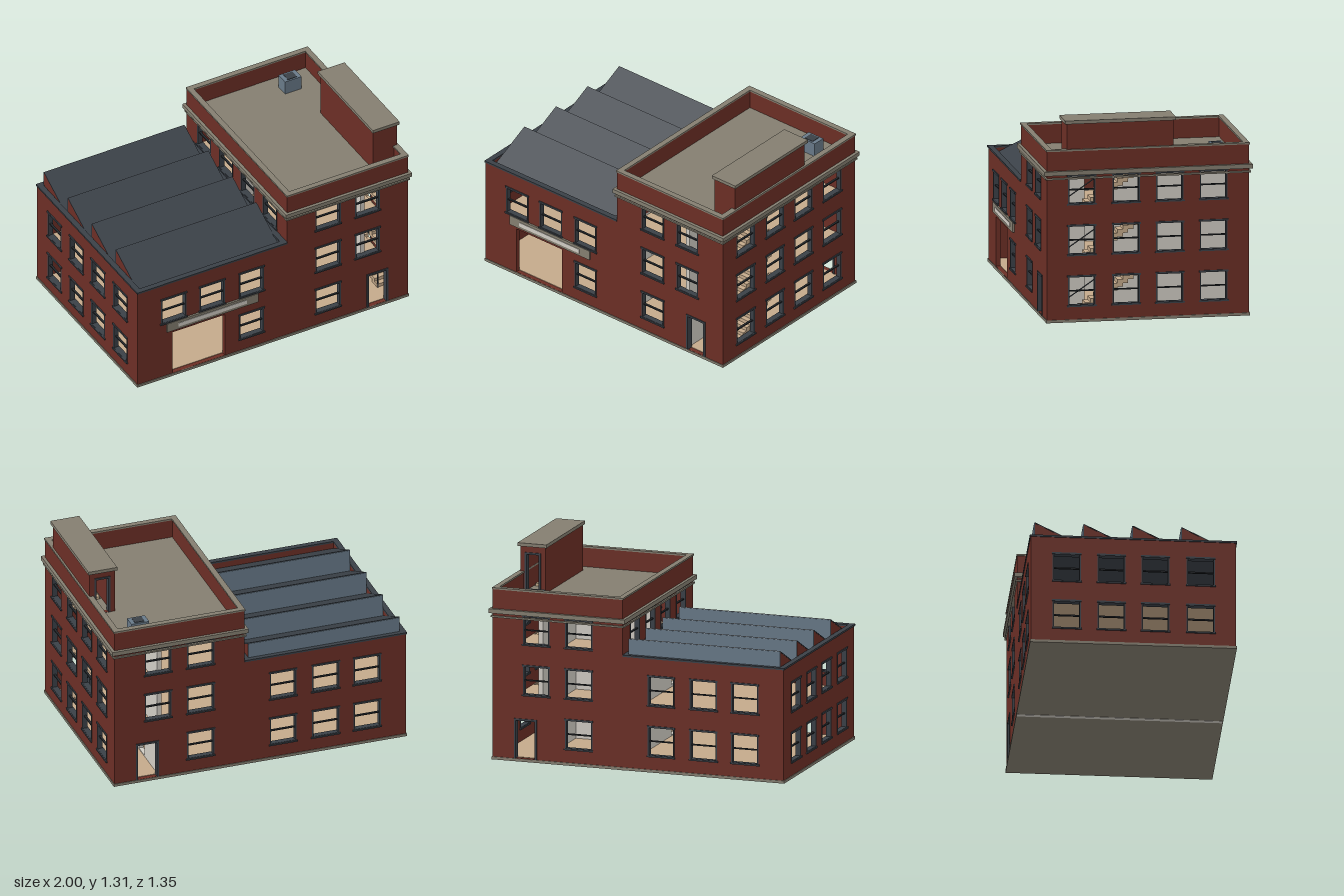
import * as THREE from 'three';

const paint = (name, color, side = THREE.FrontSide) => {
  const m = new THREE.MeshStandardMaterial({ color, side });
  m.name = name;
  return m;
};

const T = 0.03; // wall thickness

export function createModel() {
  const brick = paint('brick', 0x6b2e25);
  const stone = paint('stone', 0x847e70);
  const slate = paint('slate', 0x3a4047);
  const iron = paint('iron', 0x24282c);
  const glass = paint('blue grey metal', 0x687988);
  const plaster = paint('plaster', 0xd0ccc4);
  const timber = paint('timber', 0xc4a98a);

  const model = new THREE.Group();
  model.name = 'brickBuilding';

  const add = (parent, name, geo, mat) => {
    const mesh = new THREE.Mesh(geo, mat);
    mesh.name = name;
    parent.add(mesh);
    return mesh;
  };
  // Box from its minimum and maximum corners
  const box = (parent, name, mat, x0, x1, y0, y1, z0, z1) => {
    const geo = new THREE.BoxGeometry(x1 - x0, y1 - y0, z1 - z0);
    geo.translate((x0 + x1) / 2, (y0 + y1) / 2, (z0 + z1) / 2);
    return add(parent, name, geo, mat);
  };
  const outline = (pts) => new THREE.Shape(pts.map(([a, b]) => new THREE.Vector2(a, b)));
  const rect = (a0, a1, b0, b1) => [[a0, b0], [a1, b0], [a1, b1], [a0, b1]];
  const extrude = (pts, holes, depth) => {
    const s = outline(pts);
    for (const h of holes) s.holes.push(outline(rect(...h)));
    return new THREE.ExtrudeGeometry(s, { depth, bevelEnabled: false });
  };
  // Horizontal plate with rectangular holes given as x0, x1, z0, z1
  const plate = (name, mat, x0, x1, z0, z1, y0, y1, holes = []) => {
    const geo = extrude(rect(x0, x1, z0, z1), holes, y1 - y0);
    geo.rotateX(Math.PI / 2).translate(0, y1, 0);
    return add(model, name, geo, mat);
  };
  const ring = (name, mat, x0, x1, z, y0, y1, w) =>
    plate(name, mat, x0, x1, -z, z, y0, y1, [[x0 + w, x1 - w, -z + w, z - w]]);

  // Frame, lintel, sill and middle rail of a window
  const windowFrame = (parent, [a0, a1, b0, b1]) => {
    const g = new THREE.Group();
    g.name = 'window';
    parent.add(g);
    const f = 0.009;
    const geo = extrude(rect(a0, a1, b0, b1), [[a0 + f, a1 - f, b0 + f, b1 - f]], T + 0.004);
    add(g, 'frame', geo.translate(0, 0, -0.002), slate);
    box(g, 'lintel', slate, a0 - 0.004, a1 + 0.004, b1 - 0.008, b1 + 0.004, -0.007, T + 0.007);
    box(g, 'sill', slate, a0 - 0.006, a1 + 0.006, b0 - 0.003, b0 + 0.007, -0.009, T + 0.009);
    const mid = (b0 + b1) / 2;
    box(g, 'middleRail', iron, a0 + f, a1 - f, mid - 0.004, mid + 0.004, 0.008, T - 0.008);
  };
  const doorFrame = (parent, [a0, a1, b0, b1]) => {
    const g = new THREE.Group();
    g.name = 'doorFrame';
    parent.add(g);
    for (const a of [a0, a1 - 0.013]) box(g, 'jamb', slate, a, a + 0.013, b0, b1, -0.006, T + 0.006);
    box(g, 'head', slate, a0, a1, b1 - 0.013, b1, -0.006, T + 0.006);
  };
  // Wall with windows, framed doors and plain openings
  const wall = (name, mat, pts, { windows = [], doors = [], gaps = [] }) => {
    const g = new THREE.Group();
    g.name = name;
    model.add(g);
    add(g, 'wallPanel', extrude(pts, [...windows, ...doors, ...gaps], T), mat);
    windows.forEach((w) => windowFrame(g, w));
    doors.forEach((d) => doorFrame(g, d));
    return g;
  };
  // Wall in the depth direction whose +x face is at the given x
  const sideWall = (x, ...args) => {
    const g = wall(...args);
    g.rotation.y = -Math.PI / 2;
    g.position.x = x;
  };

  const rows = [[0.105, 0.302], [0.435, 0.632], [0.765, 0.957]];
  const lowCols = [[-0.82, -0.635], [-0.54, -0.355], [-0.25, -0.07]];
  const sideCols = [[-0.515, -0.335], [-0.23, -0.052], [0.052, 0.23], [0.34, 0.52]];

  // Front and back walls
  const facade = [[-0.99, 0.02], [0.98, 0.02], [0.98, 1.12], [0.1, 1.12], [0.1, 0.75], [-0.99, 0.75]];
  for (const front of [true, false]) {
    const windows = [];
    rows.forEach((r, i) => {
      if (i < 2) lowCols.forEach((c, j) => {
        if (!(front && i === 0 && j < 2)) windows.push([...c, ...r]);
      });
      windows.push([0.305, 0.49, ...r]);
      if (i > 0) windows.push([0.595, 0.775, ...r]);
    });
    const g = wall(front ? 'frontWall' : 'backWall', brick, facade, {
      windows,
      doors: [[0.68, 0.835, 0.021, 0.282]],
      gaps: front ? [[-0.735, -0.355, 0.021, 0.345]] : [],
    });
    g.position.z = front ? 0.655 - T : -0.655;
  }

  // Side walls and the upper wall between the two blocks
  const grid = (n0, n1) => rows.slice(n0, n1).flatMap((r) => sideCols.map((c) => [...c, ...r]));
  sideWall(0.98, 'rightWall', brick, rect(-0.625, 0.625, 0.02, 1.12), { windows: grid(0, 3) });
  sideWall(-0.96, 'leftWall', brick, rect(-0.625, 0.625, 0.02, 0.75), { windows: grid(0, 2) });
  sideWall(0.13, 'upperInnerWall', brick, rect(-0.625, 0.625, 0.69, 1.12), { windows: grid(2, 3) });

  // Interior partitions with doorways
  const doorways = (n) => [0, 0.33, 0.66].slice(0, n).flatMap((y) =>
    [[-0.385, -0.28, y + 0.03, y + 0.255], [0.25, 0.355, y + 0.03, y + 0.255]]);
  sideWall(0.13, 'blockPartition', plaster, rect(-0.625, 0.625, 0.02, 0.69), { gaps: doorways(2) });
  sideWall(0.68, 'corridorPartition', plaster, rect(-0.625, 0.625, 0.02, 0.965), { gaps: doorways(3) });
  box(model, 'crossPartition', plaster, 0.13, 0.65, 0.02, 0.965, -0.015, 0.015);

  // Foundation and floors
  plate('foundation', stone, -0.995, 0.985, -0.66, 0.66, 0.002, 0.02);
  box(model, 'foundationJoint', plaster, 0.1, 0.13, 0, 0.01, -0.655, 0.655);
  box(model, 'groundFloor', timber, -0.96, 0.95, 0.02, 0.024, -0.625, 0.625);
  const stairWell = [0.83, 0.945, 0.02, 0.5];
  plate('lowBlockFloor', timber, -0.96, 0.1, -0.625, 0.625, 0.325, 0.345);
  for (const y of [0.345, 0.675])
    plate('tallBlockFloor', timber, 0.13, 0.95, -0.625, 0.625, y - 0.02, y, [stairWell]);

  // Staircases with handrails
  const run = 0.035, rise = 0.0234;
  for (const y of [0.024, 0.35, 0.68]) {
    const g = new THREE.Group();
    g.name = 'staircase';
    model.add(g);
    for (let i = 0; i < 14; i++) {
      const z = 0.505 - i * run, top = y + (i + 1) * rise;
      box(g, 'step', timber, 0.84, 0.935, Math.max(y, top - 0.047), top, z - run, z);
    }
    const a = new THREE.Vector3(0.845, y + 0.1, 0.505);
    const b = new THREE.Vector3(0.845, y + 0.4, 0.06);
    const rail = new THREE.TubeGeometry(new THREE.LineCurve3(a, b), 1, 0.004, 6);
    add(g, 'handrail', rail, slate);
    box(g, 'railPost', slate, 0.841, 0.849, y, y + 0.1, 0.501, 0.509);
  }

  // Low block roof: coping, deck and four saw teeth
  ring('lowCoping', slate, -0.996, 0.1, 0.661, 0.743, 0.755, 0.037);
  plate('lowRoofDeck', slate, -0.96, 0.1, -0.625, 0.625, 0.675, 0.7);
  const pitch = 0.3125, base = 0.7, peak = 0.855, x0 = -0.957, x1 = 0.068;
  for (let i = 0; i < 4; i++) {
    const g = new THREE.Group();
    g.name = 'sawTooth';
    model.add(g);
    const zf = 0.623 - i * pitch, zb = zf - pitch;
    const tri = extrude([[-zf, base], [-zb, base], [-zb, peak]], [], x1 - x0 - 0.004);
    add(g, 'toothBody', tri.rotateY(Math.PI / 2).translate(x0 + 0.002, 0, 0), brick);
    const len = Math.hypot(pitch, peak - base);
    const slope = new THREE.BoxGeometry(x1 - x0, 0.006, len);
    slope.rotateX(Math.atan2(peak - base, pitch));
    slope.translate((x0 + x1) / 2, (base + peak) / 2 + 0.001, (zf + zb) / 2);
    add(g, 'toothSlope', slope, slate);
    box(g, 'toothGlazing', glass, x0, x1, base, peak, zb - 0.004, zb + 0.002);
  }

  // Tall block roof, cornices and coping
  plate('tallRoofDeck', stone, 0.13, 0.95, -0.625, 0.625, 0.965, 0.99, [stairWell]);
  ring('cornice', stone, 0.08, 1.0, 0.675, 0.96, 0.988, 0.04);
  ring('lowerCornice', stone, 0.09, 0.99, 0.666, 0.932, 0.943, 0.025);
  ring('tallCoping', stone, 0.096, 0.984, 0.659, 1.114, 1.125, 0.038);

  // Stair house on the roof, door facing the back
  for (const [a, b] of [[0.8, 0.825], [0.947, 0.972]])
    box(model, 'stairHouseSide', brick, a, b, 0.99, 1.29, -0.165, 0.525);
  box(model, 'stairHouseFront', brick, 0.825, 0.947, 0.99, 1.29, 0.5, 0.525);
  const back = wall('stairHouseBack', brick, rect(0.825, 0.947, 0.99, 1.29),
    { doors: [[0.832, 0.94, 0.991, 1.25]] });
  back.position.z = -0.165;
  box(model, 'stairHouseCap', stone, 0.79, 0.985, 1.29, 1.312, -0.18, 0.538);

  // Roof vent
  box(model, 'roofVent', glass, 0.7, 0.82, 0.99, 1.085, -0.53, -0.445);
  box(model, 'ventOpening', slate, 0.727, 0.793, 1.08, 1.088, -0.518, -0.457);

  // Sign board over the loading entrance
  box(model, 'signBoard', stone, -0.78, -0.118, 0.367, 0.434, 0.655, 0.668);
  box(model, 'signPanel', plaster, -0.7, -0.2, 0.386, 0.415, 0.666, 0.671);

  // Centre the footprint
  model.children.forEach((c) => { c.position.x += 0; });
  return model;
}
